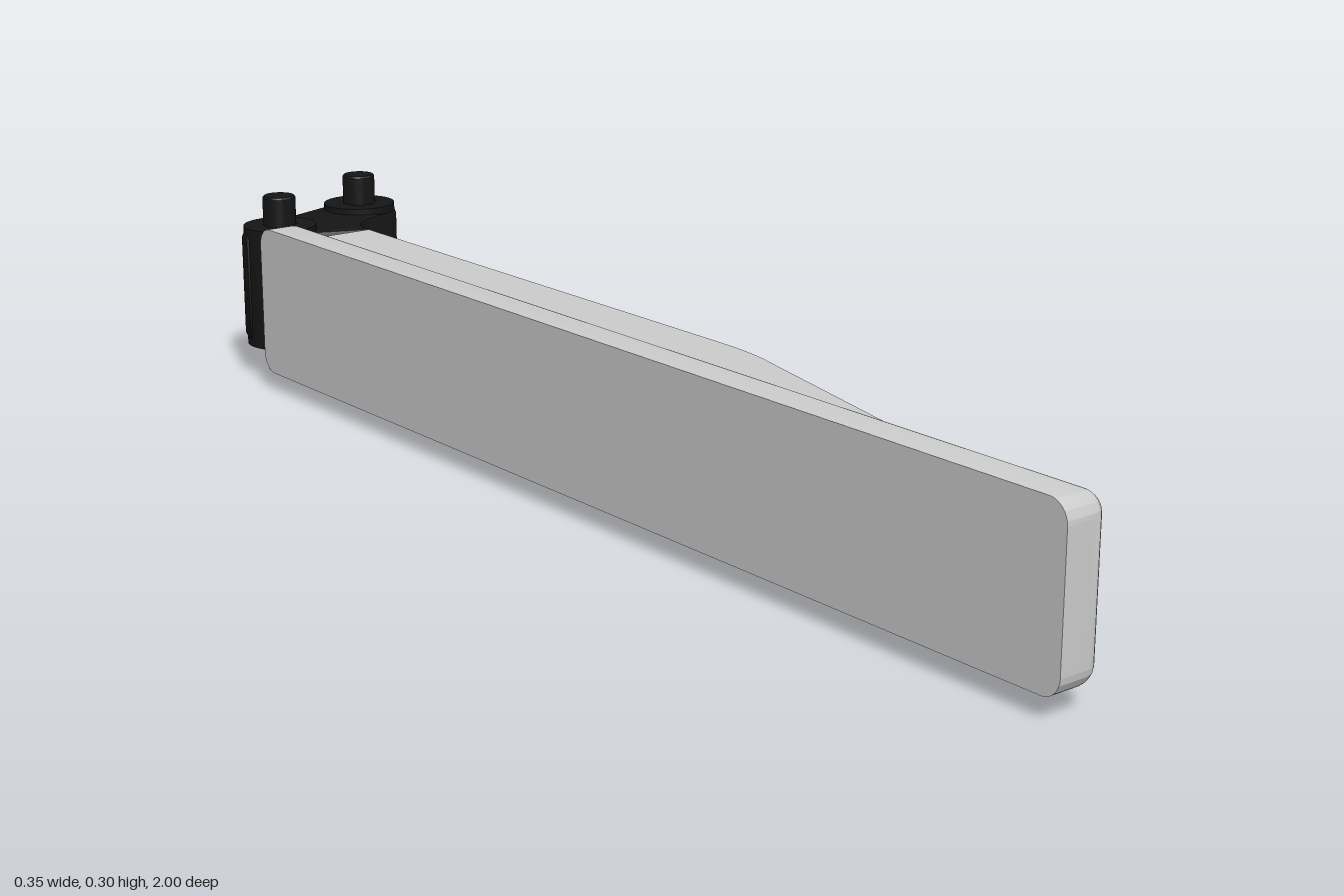
import * as THREE from 'three';
import { toCreasedNormals } from 'three/addons/utils/BufferGeometryUtils.js';

const grey = new THREE.MeshStandardMaterial({ color: 0xcccccc });
const black = new THREE.MeshStandardMaterial({ color: 0x151515 });
const MID = 0.1515; // height of the horizontal mirror plane

function addMesh(parent, name, geometry, material) {
  const mesh = new THREE.Mesh(geometry, material);
  mesh.name = name;
  parent.add(mesh);
  return mesh;
}

// Extrude along +z; the bevel keeps within the outline. With flatBack the rear bevel is pressed flat.
function extrude(shape, depth, bevel = 0, segments = 1, flatBack = false) {
  const g = new THREE.ExtrudeGeometry(shape, {
    depth, curveSegments: 20, bevelEnabled: bevel > 0, bevelThickness: bevel,
    bevelSize: bevel, bevelOffset: -bevel, bevelSegments: segments,
  });
  if (flatBack) {
    const p = g.attributes.position;
    for (let i = 0; i < p.count; i++) p.setZ(i, Math.max(p.getZ(i), 0));
  }
  return g;
}

const creased = (g) => toCreasedNormals(g, 0.55);

function roundedRect(x0, y0, x1, y1, r) {
  const s = new THREE.Shape();
  s.absarc(x1 - r, y0 + r, r, -Math.PI / 2, 0);
  s.absarc(x1 - r, y1 - r, r, 0, Math.PI / 2);
  s.absarc(x0 + r, y1 - r, r, Math.PI / 2, Math.PI);
  s.absarc(x0 + r, y0 + r, r, Math.PI, Math.PI * 1.5);
  s.closePath();
  return s;
}

function rect(x0, y0, x1, y1) {
  return new THREE.Shape([[x0, y0], [x1, y0], [x1, y1], [x0, y1]].map((p) => new THREE.Vector2(...p)));
}

function circleHole(x, y, r) {
  return new THREE.Path().absarc(x, y, r, 0, Math.PI * 2, true);
}

function buildHandle(root) {
  const handle = new THREE.Group();
  handle.name = 'handle';
  root.add(handle);

  // Long plate: flat outer face, rounded inner edges
  const plate = extrude(roundedRect(-1, 0.03, 0.79, 0.273, 0.03), 0.045, 0.03, 6, true);
  plate.rotateY(Math.PI / 2).translate(-0.175, 0, 0);
  addMesh(handle, 'plate', creased(plate), grey);

  // Two tapering rails, mirrored about the mid height
  const profile = new THREE.Shape();
  profile.moveTo(-0.13, 0.79);
  profile.lineTo(-0.13, -0.88);
  profile.lineTo(-0.102, -0.88);
  profile.quadraticCurveTo(-0.1, -0.81, -0.085, -0.75);
  profile.lineTo(0.025, -0.27);
  profile.quadraticCurveTo(0.038, -0.22, 0.038, -0.15);
  profile.lineTo(0.038, 0.79);
  profile.closePath();
  const railGeometry = extrude(profile, 0.035, 0.01, 1, true);
  railGeometry.rotateX(-Math.PI / 2).translate(0, 0.046, 0);
  const rail = creased(railGeometry);
  for (const side of [1, -1]) {
    const mesh = addMesh(handle, side > 0 ? 'upperRail' : 'lowerRail', rail, grey);
    mesh.position.y = MID;
    mesh.scale.y = side;
  }

  // Block closing the slot, bored for the bolt
  const block = rect(-0.12, 0.105, 0.038, 0.198);
  block.holes.push(circleHole(-0.03 + 0.008, MID, 0.0455));
  addMesh(handle, 'endBlock', creased(extrude(block, 0.12).translate(0, 0, -0.79)), grey);

  // Pierced pad on the slot floor
  const pad = rect(0.585, 0.105, 0.67, 0.198);
  pad.holes.push(circleHole(0.63, MID, 0.038));
  const padGeometry = extrude(pad, 0.012).rotateY(Math.PI / 2).translate(-0.1, 0, 0);
  addMesh(handle, 'floorPad', creased(padGeometry), grey);

  // Bolt head with a hexagonal socket
  const head = new THREE.Shape().absarc(0, 0, 0.044, 0, Math.PI * 2);
  const hex = [];
  for (let i = 0; i < 6; i++) {
    const a = (-i * Math.PI) / 3;
    hex.push(new THREE.Vector2(0.022 * Math.cos(a), 0.022 * Math.sin(a)));
  }
  head.holes.push(new THREE.Path(hex));
  addMesh(handle, 'boltHead', creased(extrude(head, 0.05).translate(-0.022, MID, -0.73)), black);
  const core = new THREE.CylinderGeometry(0.044, 0.044, 0.06, 32).rotateX(Math.PI / 2);
  addMesh(handle, 'boltCore', core, black).position.set(-0.022, MID, -0.76);
}

function buildHinge(root) {
  const hinge = new THREE.Group();
  hinge.name = 'hinge';
  root.add(hinge);
  const A = [-0.094, 0.865], B = [0.107, 0.936], r = 0.064;
  const up = Math.atan2(B[1] - A[1], B[0] - A[0]) + Math.PI / 2;

  // Cranked link body around both pivots
  const s = new THREE.Shape();
  s.moveTo(A[0] - r, 0.785);
  s.absarc(A[0], A[1], r, Math.PI, up, true);
  s.absarc(B[0], B[1], r, up, up - Math.PI, true);
  s.lineTo(0.09, 0.862);
  s.quadraticCurveTo(0.04, 0.845, 0.036, 0.795);
  s.lineTo(0.036, 0.785);
  s.closePath();
  const body = extrude(s, 0.163, 0.01, 2).rotateX(-Math.PI / 2).translate(0, 0.07, 0);
  addMesh(hinge, 'linkBody', creased(body), black);

  // Flange and pin on each pivot
  const lathe = (pts) => creased(new THREE.LatheGeometry(pts.map((p) => new THREE.Vector2(...p)), 32).toNonIndexed());
  const flange = lathe([[0, -0.1015], [0.061, -0.1015], [0.061, 0.1015], [0, 0.1015]]);
  const pin = lathe([[0, -MID], [0.025, -MID], [0.0275, -MID + 0.003],
    [0.0275, MID - 0.003], [0.025, MID], [0, MID]]);
  [A, B].forEach(([x, z], i) => {
    const which = i ? 'outer' : 'inner';
    addMesh(hinge, which + 'Flange', flange, black).position.set(x, MID, -z);
    addMesh(hinge, which + 'Pin', pin, black).position.set(x, MID, -z);
  });
}

export function createModel() {
  const root = new THREE.Group();
  root.name = 'hingedHandle';
  buildHandle(root);
  buildHinge(root);
  return root;
}
